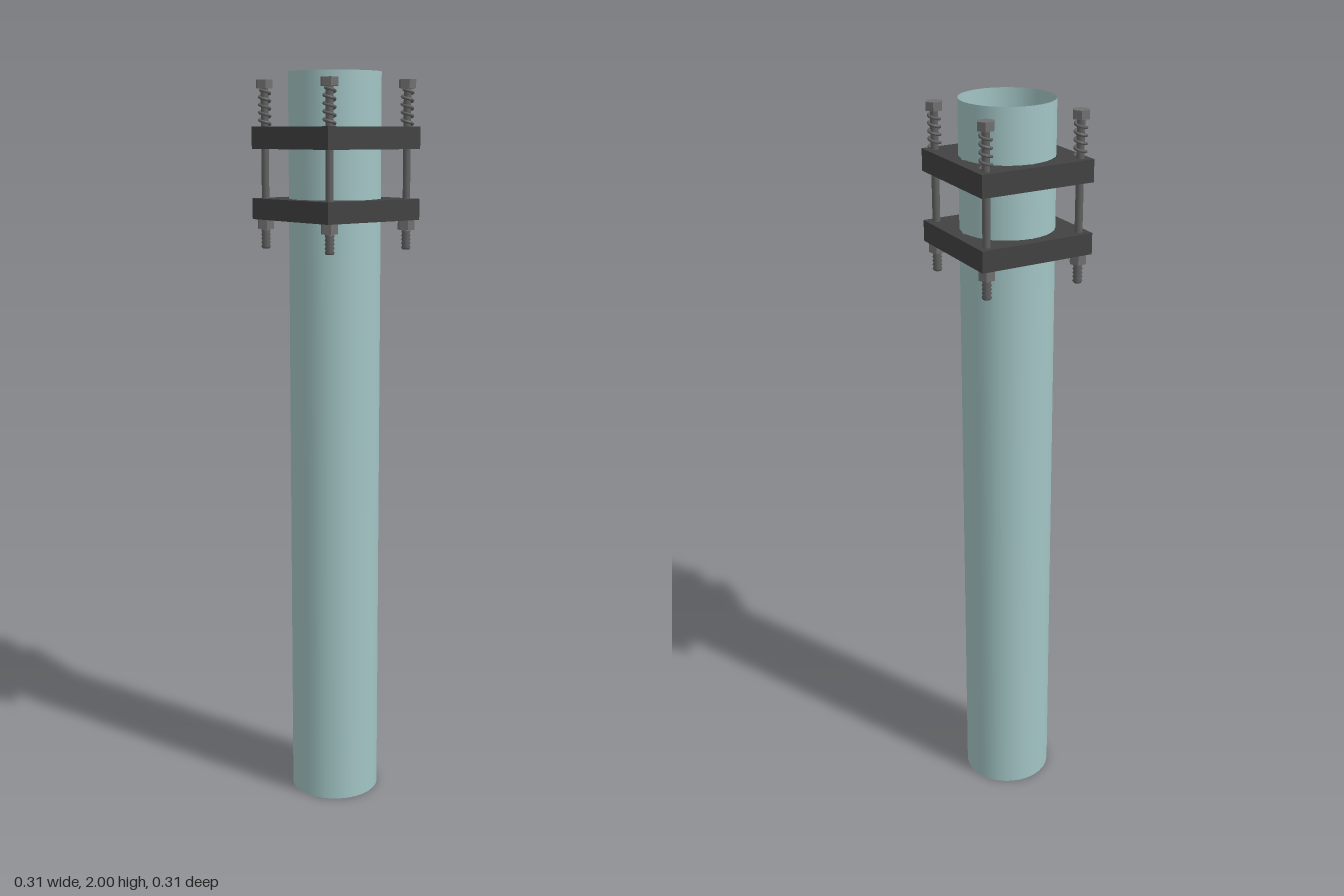
import * as THREE from 'three';

const mat = (color, extra = {}) => new THREE.MeshStandardMaterial({ color, ...extra });
const tubeMat = mat(0xa3c5c5, { side: THREE.DoubleSide });
const plateMat = mat(0x424242);
const boltMat = mat(0x707070, { flatShading: true });
const springMat = mat(0x606060);
const shellMat = mat(0xa0a34a);

function add(parent, name, geometry, material, x = 0, y = 0, z = 0) {
  const mesh = new THREE.Mesh(geometry, material);
  mesh.name = name;
  mesh.position.set(x, y, z);
  parent.add(mesh);
  return mesh;
}

// Square clamp plate with an octagonal hole, resting on height y
function clampPlate(y, height) {
  const s = 0.157, r = 0.127;
  const shape = new THREE.Shape([[-s, -s], [s, -s], [s, s], [-s, s]].map(p => new THREE.Vector2(...p)));
  const hole = new THREE.Path();
  for (let i = 0; i < 8; i++) {
    const a = -i * Math.PI / 4;
    const x = r * Math.cos(a), z = r * Math.sin(a);
    if (i) hole.lineTo(x, z); else hole.moveTo(x, z);
  }
  hole.closePath();
  shape.holes.push(hole);
  return new THREE.ExtrudeGeometry(shape, { depth: height, bevelEnabled: false })
    .rotateX(-Math.PI / 2).translate(0, y, 0);
}

// Hexagon with two corners on the x axis
function hexagon(radius, height) {
  return new THREE.CylinderGeometry(radius, radius, height, 6).rotateY(Math.PI / 6);
}

// Helix for the compression spring
class Helix extends THREE.Curve {
  constructor(radius, height, turns) {
    super();
    Object.assign(this, { radius, height, turns });
  }
  getPoint(t, target = new THREE.Vector3()) {
    const a = t * this.turns * Math.PI * 2;
    return target.set(this.radius * Math.cos(a), this.height * t, this.radius * Math.sin(a));
  }
}

// Spring-loaded bolt: head, rod, spring, nut and threaded end
function springBolt() {
  const bolt = new THREE.Group();
  bolt.name = 'springBolt';
  add(bolt, 'boltHead', hexagon(0.023, 0.022), boltMat, 0, 1.969);
  add(bolt, 'boltRod', new THREE.CylinderGeometry(0.01, 0.01, 0.42, 12), springMat, 0, 1.755);
  add(bolt, 'spring', new THREE.TubeGeometry(new Helix(0.014, 0.088, 4.5), 72, 0.004, 6), springMat, 0, 1.866);
  add(bolt, 'nut', hexagon(0.023, 0.025), boltMat, 0, 1.608);
  const thread = [new THREE.Vector2(0, 1.544)];
  for (let i = 0; i <= 10; i++) thread.push(new THREE.Vector2(i % 2 ? 0.013 : 0.01, 1.544 + i * 0.0052));
  add(bolt, 'threadedEnd', new THREE.LatheGeometry(thread, 12), springMat);
  return bolt;
}

export function createModel() {
  const model = new THREE.Group();
  model.name = 'clampedTube';
  const cz = -0.003;

  // Open thin-walled tube
  add(model, 'tube', new THREE.CylinderGeometry(0.122, 0.122, 2, 32, 1, true), tubeMat, 0, 1, cz);

  // Round-nosed core inside the tube, with a flat tip
  const radius = 0.103, flat = 0.039;
  const profile = [new THREE.Vector2(0.07, 0.45), new THREE.Vector2(radius, 0.55)];
  const end = Math.acos(flat / radius);
  for (let i = 0; i <= 10; i++) {
    const a = end * i / 10;
    profile.push(new THREE.Vector2(radius * Math.cos(a), 1 + radius * Math.sin(a)));
  }
  add(model, 'core', new THREE.LatheGeometry(profile, 32), shellMat, 0, 0, cz);
  add(model, 'coreTip', new THREE.CircleGeometry(flat, 32).rotateX(-Math.PI / 2), shellMat,
    0, 1 + radius * Math.sin(end), cz);
  add(model, 'coreBase', new THREE.CircleGeometry(0.07, 32).rotateX(Math.PI / 2), shellMat, 0, 0.45, cz);

  // Two clamp plates
  add(model, 'upperPlate', clampPlate(1.804, 0.057), plateMat);
  add(model, 'lowerPlate', clampPlate(1.621, 0.055), plateMat);

  // One bolt at each corner
  for (const x of [-0.132, 0.132]) {
    for (const z of [-0.132, 0.133]) {
      const bolt = springBolt();
      bolt.position.set(x, 0, z);
      model.add(bolt);
    }
  }
  return model;
}
